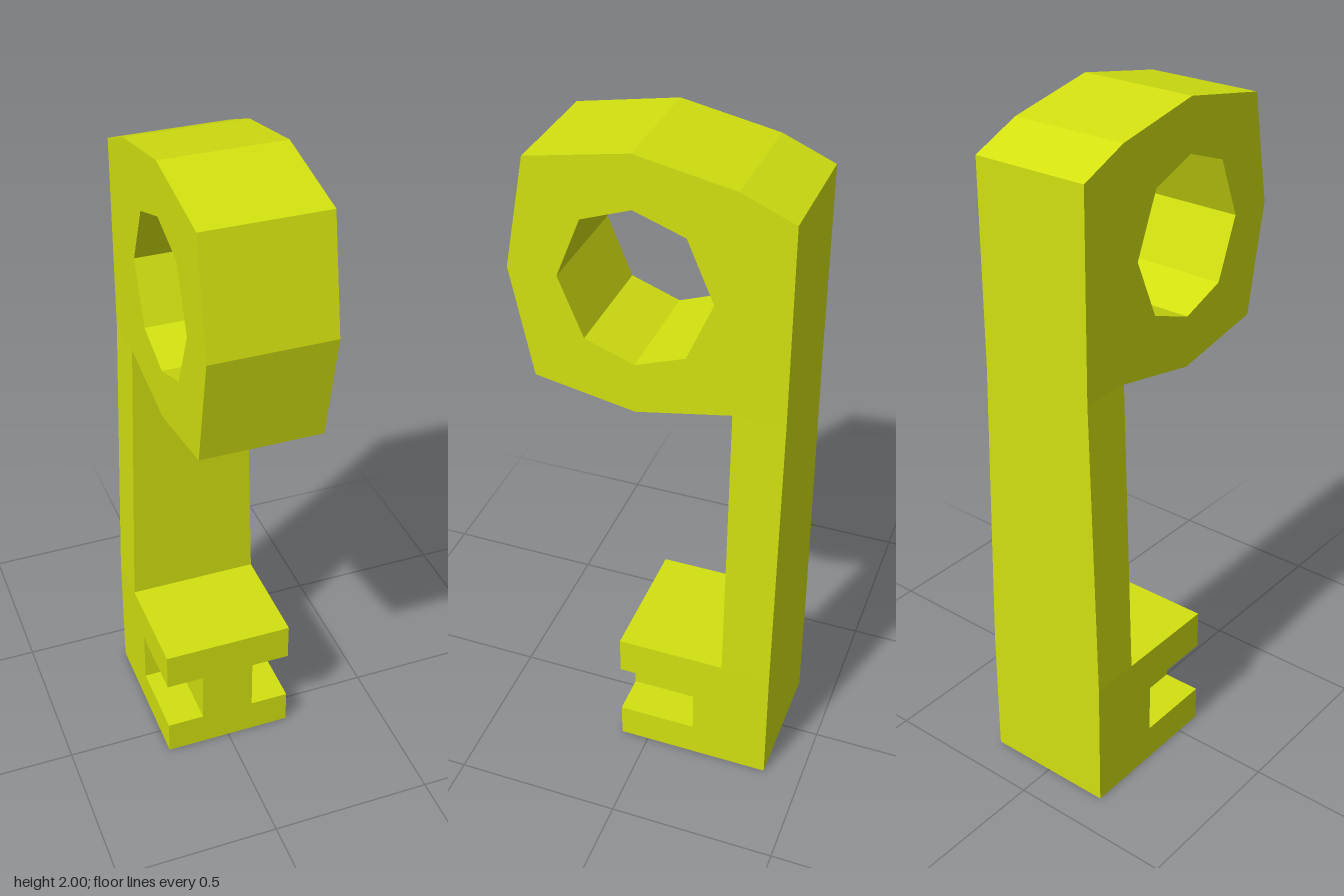
import * as THREE from 'three';

const material = new THREE.MeshStandardMaterial({ color: 0xd2e010, flatShading: true });

const points = (list) => list.map(([a, b]) => new THREE.Vector2(a, b));

function extrude(outline, depth, hole) {
  const shape = new THREE.Shape(points(outline));
  if (hole) shape.holes.push(new THREE.Path(points(hole)));
  return new THREE.ExtrudeGeometry(shape, { depth, bevelEnabled: false });
}

export function createModel() {
  const group = new THREE.Group();
  const add = (name, geometry) => {
    const mesh = new THREE.Mesh(geometry, material);
    mesh.name = name;
    group.add(mesh);
  };

  const footHalf = 0.2, headHalf = 0.174;
  const back = -0.385, stemFront = -0.238, pocketBack = -0.15, footFront = 0.087;
  const footTop = 0.4, stemTop = 1.304;

  // Ring head: side profile in (z, y) with an eight-sided eye, extruded across x
  const head = extrude(
    [[back, stemTop], [stemFront, stemTop], [0.034, 1.25], [0.323, stemTop], [0.385, 1.626],
      [0.323, 1.947], [0.034, 2], [stemFront, 1.947], [back, 1.885]],
    headHalf * 2,
    [[0.034, 1.851], [0.175, 1.8], [0.245, 1.626], [0.175, 1.452],
      [0.034, 1.4], [-0.108, 1.452], [-0.182, 1.626], [-0.108, 1.8]]
  );
  head.translate(0, 0, -headHalf).rotateY(-Math.PI / 2);
  add('ringHead', head);

  // Stem: a box narrowing in x toward the head
  const stem = new THREE.BoxGeometry(footHalf * 2, stemTop - footTop, stemFront - back);
  stem.translate(0, (stemTop + footTop) / 2, (stemFront + back) / 2);
  const p = stem.attributes.position;
  for (let i = 0; i < p.count; i++) {
    if (p.getY(i) > 1) p.setX(i, Math.sign(p.getX(i)) * headHalf);
  }
  stem.computeVertexNormals();
  add('stem', stem);

  // Solid rear of the foot
  const rear = new THREE.BoxGeometry(footHalf * 2, footTop, pocketBack - back);
  rear.translate(0, footTop / 2, (pocketBack + back) / 2);
  add('footRear', rear);

  // Front of the foot: I-shaped section, leaving a pocket on each side
  const low = 0.11, high = 0.28, webLeft = 0.08, webRight = -0.085;
  const front = extrude(
    [[-footHalf, 0], [footHalf, 0], [footHalf, low], [webLeft, low], [webLeft, high], [footHalf, high],
      [footHalf, footTop], [-footHalf, footTop], [-footHalf, high], [webRight, high], [webRight, low], [-footHalf, low]],
    footFront - pocketBack
  );
  front.translate(0, 0, pocketBack);
  add('footFront', front);

  return group;
}
